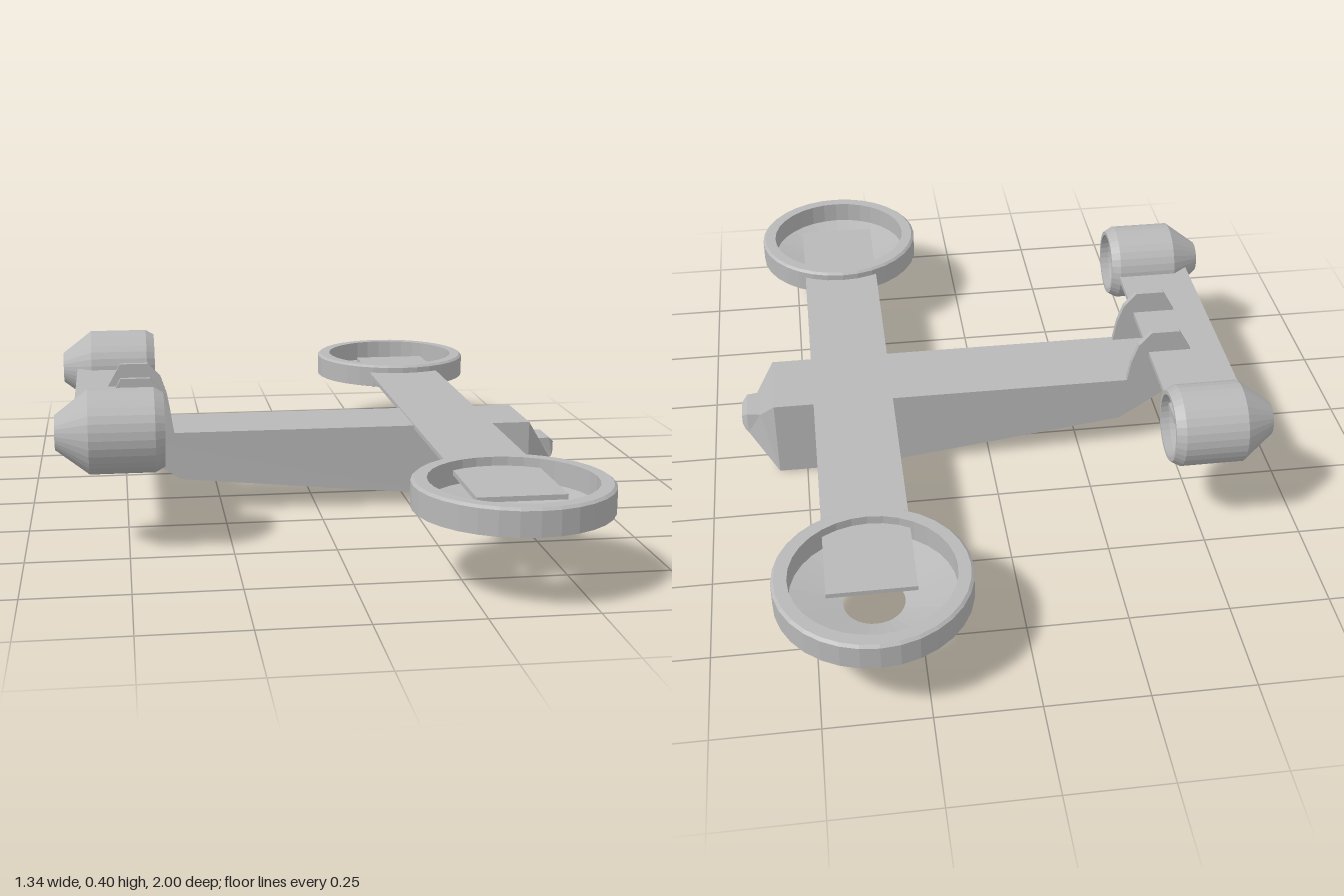
import * as THREE from 'three';

const grey = new THREE.MeshStandardMaterial({ color: 0xb8b8b8, side: THREE.DoubleSide });
grey.name = 'hull grey';

const BODY_Z = 0.03; // hull centreline
const HALF = 0.105; // hull half width

function part(name, geometry, x = 0, y = 0, z = 0) {
  const flat = geometry.index ? geometry.toNonIndexed() : geometry;
  flat.computeVertexNormals();
  const mesh = new THREE.Mesh(flat, grey);
  mesh.name = name;
  mesh.position.set(x, y, z);
  return mesh;
}

// Joins matching rings of [x, y, z] corners and closes both ends.
function loft(rings) {
  const n = rings[0].length;
  const pos = [];
  const tri = (a, b, c) => pos.push(...a, ...b, ...c);
  for (let k = 0; k + 1 < rings.length; k++) {
    const [a, b] = [rings[k], rings[k + 1]];
    for (let i = 0; i < n; i++) {
      const j = (i + 1) % n;
      tri(a[i], a[j], b[j]);
      tri(a[i], b[j], b[i]);
    }
  }
  const first = rings[0], last = rings[rings.length - 1];
  for (let i = 1; i + 1 < n; i++) {
    tri(first[0], first[i + 1], first[i]);
    tri(last[0], last[i], last[i + 1]);
  }
  const g = new THREE.BufferGeometry();
  g.setAttribute('position', new THREE.Float32BufferAttribute(pos, 3));
  return g;
}

function lathe(profile, sides) {
  return new THREE.LatheGeometry(profile.map(([r, h]) => new THREE.Vector2(r, h)), sides);
}

export function createModel() {
  const model = new THREE.Group();

  // Hull: side outlines, with the keel kink deeper on the right side
  const outline = (kinkY, z) => [
    [-0.545, 0.215], [-0.36, 0.09], [0.32, kinkY], [0.575, 0], [0.575, 0.215],
  ].map(([x, y]) => [x, y, z]);
  model.add(part('hull', loft([outline(0, BODY_Z - HALF), outline(0.0245, BODY_Z + HALF)])));

  // Nose: tapering frames of bottom x, bottom y, top x, top y, half width
  const frames = [
    [0.575, 0, 0.575, 0.215, HALF],
    [0.65, 0.1, 0.615, 0.155, 0.052],
    [0.658, 0.106, 0.65, 0.155, 0.045],
    [0.665, 0.115, 0.665, 0.14, 0.03],
  ];
  model.add(part('nose', loft(frames.map(([bx, by, tx, ty, w]) => [
    [bx, by, BODY_Z + w], [bx, by, BODY_Z - w], [tx, ty, BODY_Z - w], [tx, ty, BODY_Z + w],
  ]))));

  // Wings
  model.add(part('frontWing', new THREE.BoxGeometry(0.21, 0.012, 1.63), 0.365, 0.212, 0.013));
  model.add(part('rearWing', new THREE.BoxGeometry(0.2, 0.014, 0.8), -0.53, 0.295, 0.025));

  // Lift ducts: open dishes with a hole in the floor
  const ductProfile = [
    [0.08, 0.14], [0.232, 0.175], [0.232, 0.234], [0.225, 0.24],
    [0.195, 0.24], [0.195, 0.182], [0.072, 0.15], [0.08, 0.14],
  ];
  for (const [name, z] of [['rightLiftDuct', -0.768], ['leftLiftDuct', 0.765]]) {
    model.add(part(name, lathe(ductProfile, 32), 0.36, 0, z));
  }

  // Rear engines: hollow, open at the front, narrowing to a nozzle behind
  const engineProfile = [
    [0.042, -0.67], [0.103, -0.59], [0.103, -0.433], [0.09, -0.41],
    [0.08, -0.41], [0.084, -0.433], [0.084, -0.585], [0.036, -0.66], [0.042, -0.67],
  ];
  for (const [name, z] of [['rightEngine', -0.388], ['leftEngine', 0.41]]) {
    const engine = part(name, lathe(engineProfile, 32), 0, 0.293, z);
    engine.rotation.z = -Math.PI / 2;
    model.add(engine);
  }

  // Tail fins carrying the rear wing
  const finShape = new THREE.Shape([
    [-0.545, 0.215], [-0.375, 0.215], [-0.385, 0.275], [-0.402, 0.325],
    [-0.435, 0.362], [-0.51, 0.362], [-0.545, 0.3],
  ].map(([x, y]) => new THREE.Vector2(x, y)));
  const finGeometry = new THREE.ExtrudeGeometry(finShape, { depth: 0.015, bevelEnabled: false });
  model.add(part('rightFin', finGeometry, 0, 0, BODY_Z - HALF));
  model.add(part('leftFin', finGeometry, 0, 0, BODY_Z + HALF - 0.015));

  return model;
}
